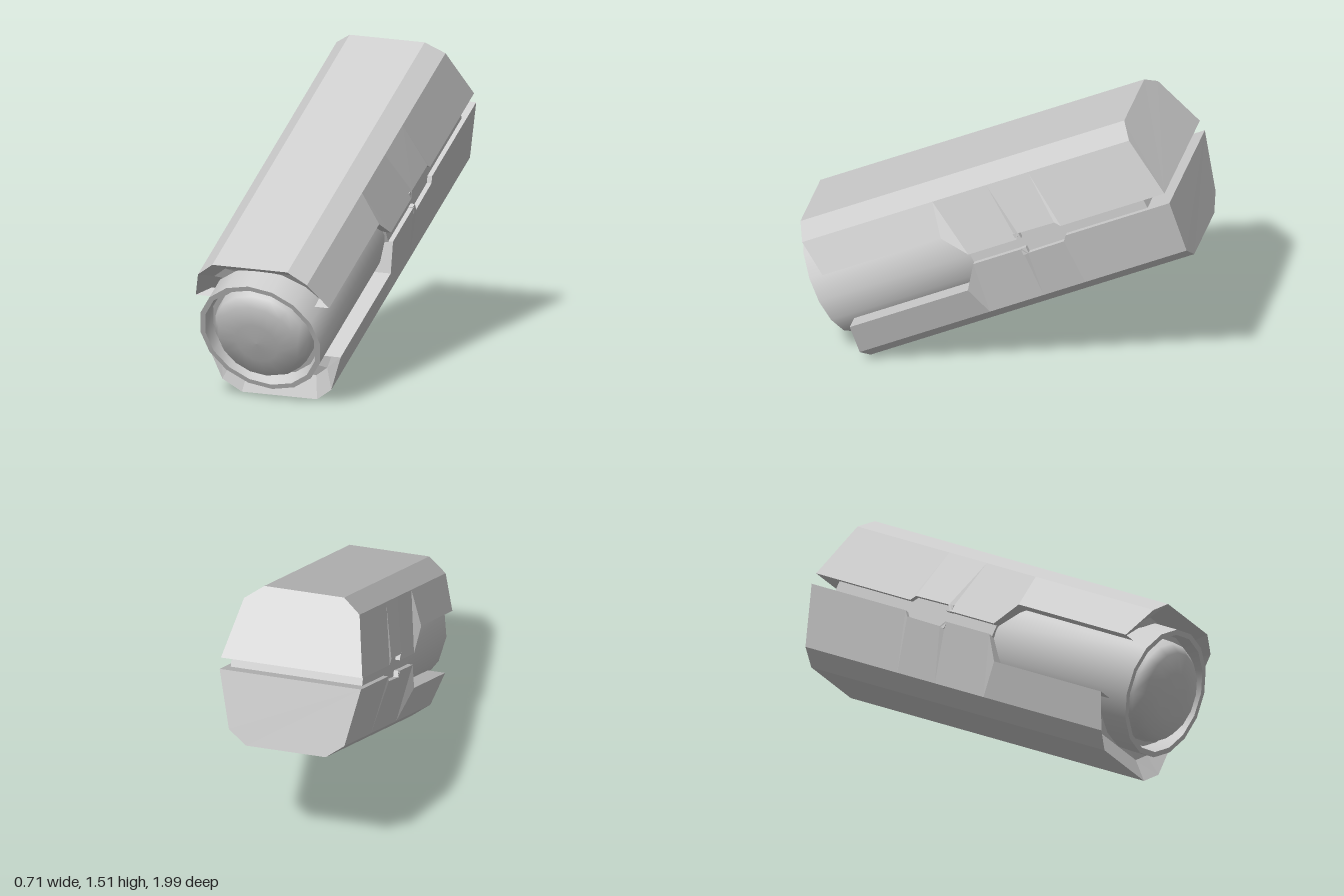
import * as THREE from 'three';
import { toCreasedNormals } from 'three/addons/utils/BufferGeometryUtils.js';

const TILT = 0.461;
const flat = new THREE.MeshStandardMaterial({ color: 0xcccccc, flatShading: true, side: THREE.DoubleSide });
const smooth = new THREE.MeshStandardMaterial({ color: 0xcccccc, side: THREE.DoubleSide });

// Closed solid from equal-length rings, listed front to back, each counter-clockwise seen from the front
function loft(rings) {
  const pos = [];
  const tri = (...pts) => pts.forEach((p) => pos.push(...p));
  const n = rings[0].length;
  for (let i = 0; i < rings.length - 1; i++) {
    const a = rings[i], b = rings[i + 1];
    for (let j = 0; j < n; j++) {
      const k = (j + 1) % n;
      tri(a[j], b[j], b[k]);
      tri(a[j], b[k], a[k]);
    }
  }
  const first = rings[0], last = rings[rings.length - 1];
  for (let j = 1; j < n - 1; j++) {
    tri(first[0], first[j], first[j + 1]);
    tri(last[0], last[j + 1], last[j]);
  }
  const geo = new THREE.BufferGeometry();
  geo.setAttribute('position', new THREE.Float32BufferAttribute(pos, 3));
  geo.computeVertexNormals();
  return geo;
}

// Mirrors the right-hand half of a section: edge, shoulder, crown
function ring(edge, shoulder, crown) {
  const half = [edge, shoulder, crown];
  return [...half, ...half.map(([x, y, z]) => [-x, y, z]).reverse()];
}

// Half shell: zTop is the station along the crown, zEdge and yEdge place the lower rim
function shellGeometry() {
  const station = (zTop, zEdge, yEdge) =>
    ring([0.355, yEdge, zEdge], [0.29, 0.324, zTop], [0.2, 0.394, zTop]);
  return loft([
    ring([0.295, 0.155, 0.45], [0.25, 0.255, 0.48], [0.18, 0.31, 0.48]), // chamfered mouth
    station(0.56, 0.513, 0.153),
    station(-0.167, -0.147, 0.153), // step at the end of the side opening
    station(-0.167, -0.239, 0.028),
    station(-0.467, -0.51, 0.028), // shallow latch notch
    station(-0.467, -0.53, 0.058),
    station(-0.70, -0.732, 0.055),
    station(-0.70, -0.755, 0.028),
    ring([0.355, 0.028, -1.335], [0.29, 0.324, -1.266], [0.2, 0.394, -1.249]), // sloped back
  ]);
}

function lathe(points, segments, creased) {
  const geo = new THREE.LatheGeometry(points.map(([r, z]) => new THREE.Vector2(r, z)), segments);
  geo.rotateX(Math.PI / 2);
  return creased ? toCreasedNormals(geo, 0.5) : geo;
}

export function createModel() {
  const model = new THREE.Group();
  model.name = 'tiltedHousing';
  const body = new THREE.Group();
  body.name = 'body';
  body.rotation.x = TILT;
  body.position.set(0, 0.613, 0.304);
  model.add(body);

  const add = (name, geo, mat, x = 0, y = 0, z = 0) => {
    const mesh = new THREE.Mesh(geo, mat);
    mesh.name = name;
    mesh.position.set(x, y, z);
    body.add(mesh);
    return mesh;
  };

  // Upper and lower shells are the same part turned over
  const shell = shellGeometry();
  add('upperShell', shell, flat);
  add('lowerShell', shell, flat).rotation.z = Math.PI;

  // Core seen through the seam and behind the notches
  add('core', new THREE.BoxGeometry(0.66, 0.13, 0.97), flat, 0, 0, -0.721);

  // Latch pins at the front of the notches
  for (const side of [-1, 1])
    for (const up of [-1, 1])
      add('latchPin', new THREE.BoxGeometry(0.03, 0.036, 0.03), flat, side * 0.338, up * 0.044, -0.518);

  // Front tube with a recessed mouth
  add('lensTube', lathe([
    [0, -0.45], [0.318, -0.45], [0.318, 0.615], [0.292, 0.615], [0.28, 0.54], [0.25, 0.54],
  ], 16, true), smooth, 0, 0.008);

  // Bulging lens
  add('lens', lathe([
    [0.257, 0.53], [0.245, 0.60], [0.21, 0.645], [0.11, 0.66], [0, 0.664],
  ], 16, false), smooth, 0, 0.008);

  return model;
}
